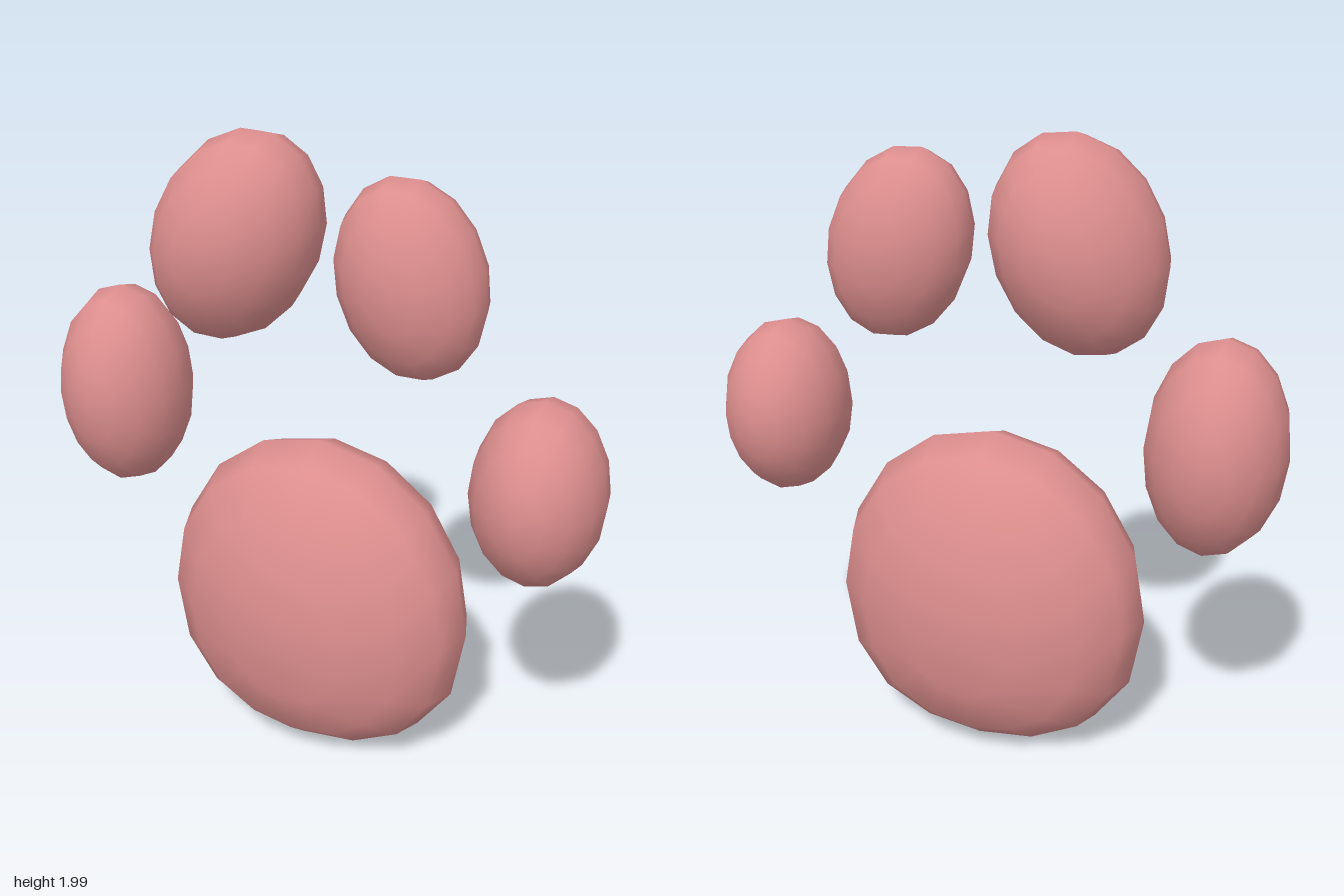
import * as THREE from 'three';
import { mergeVertices } from 'three/addons/utils/BufferGeometryUtils.js';

// Low-segment ellipsoid with its poles on the front and back.
// up / down: heights above and below the centre; fullness squares off the underside;
// tilt: lean about z in degrees; yaw: how far z shifts along x.
function padGeometry({ x, y, width, up, down = up, depth, fullness = 0, tilt = 0, yaw = 0 }) {
  const sphere = new THREE.SphereGeometry(1, 16, 8).rotateX(Math.PI / 2);
  sphere.deleteAttribute('uv');
  sphere.deleteAttribute('normal');
  const g = mergeVertices(sphere, 1e-4);
  const pos = g.attributes.position;
  const v = new THREE.Vector3();
  const axis = new THREE.Vector3(0, 0, 1);
  for (let i = 0; i < pos.count; i++) {
    v.fromBufferAttribute(pos, i);
    if (v.y < 0) v.y *= 1 + fullness * (1 + v.y);
    v.set(v.x * width, v.y * (v.y < 0 ? down : up), v.z * depth);
    v.applyAxisAngle(axis, THREE.MathUtils.degToRad(tilt));
    pos.setXYZ(i, v.x + x, v.y + y, v.z + yaw * v.x);
  }
  g.computeVertexNormals();
  return g;
}

const pads = {
  mainPad: { x: 0, y: 0.5, width: 0.51, up: 0.57, down: 0.495, depth: 0.29, fullness: 0.37 },
  outerToeRight: { x: -0.695, y: 1.125, width: 0.211, up: 0.335, depth: 0.225, tilt: 1 },
  innerToeRight: { x: -0.267, y: 1.68, width: 0.243, up: 0.331, depth: 0.222, tilt: -20, yaw: -0.13 },
  innerToeLeft: { x: 0.29, y: 1.632, width: 0.215, up: 0.298, depth: 0.168, tilt: 14, yaw: -0.1 },
  outerToeLeft: { x: 0.704, y: 1.058, width: 0.2, up: 0.288, depth: 0.225, tilt: 1 },
};

export function createModel() {
  const group = new THREE.Group();
  group.name = 'pawPads';
  const pink = new THREE.MeshStandardMaterial({ color: 0xdd8e8e });
  pink.name = 'padPink';
  for (const [name, shape] of Object.entries(pads)) {
    const mesh = new THREE.Mesh(padGeometry(shape), pink);
    mesh.name = name;
    group.add(mesh);
  }
  return group;
}
